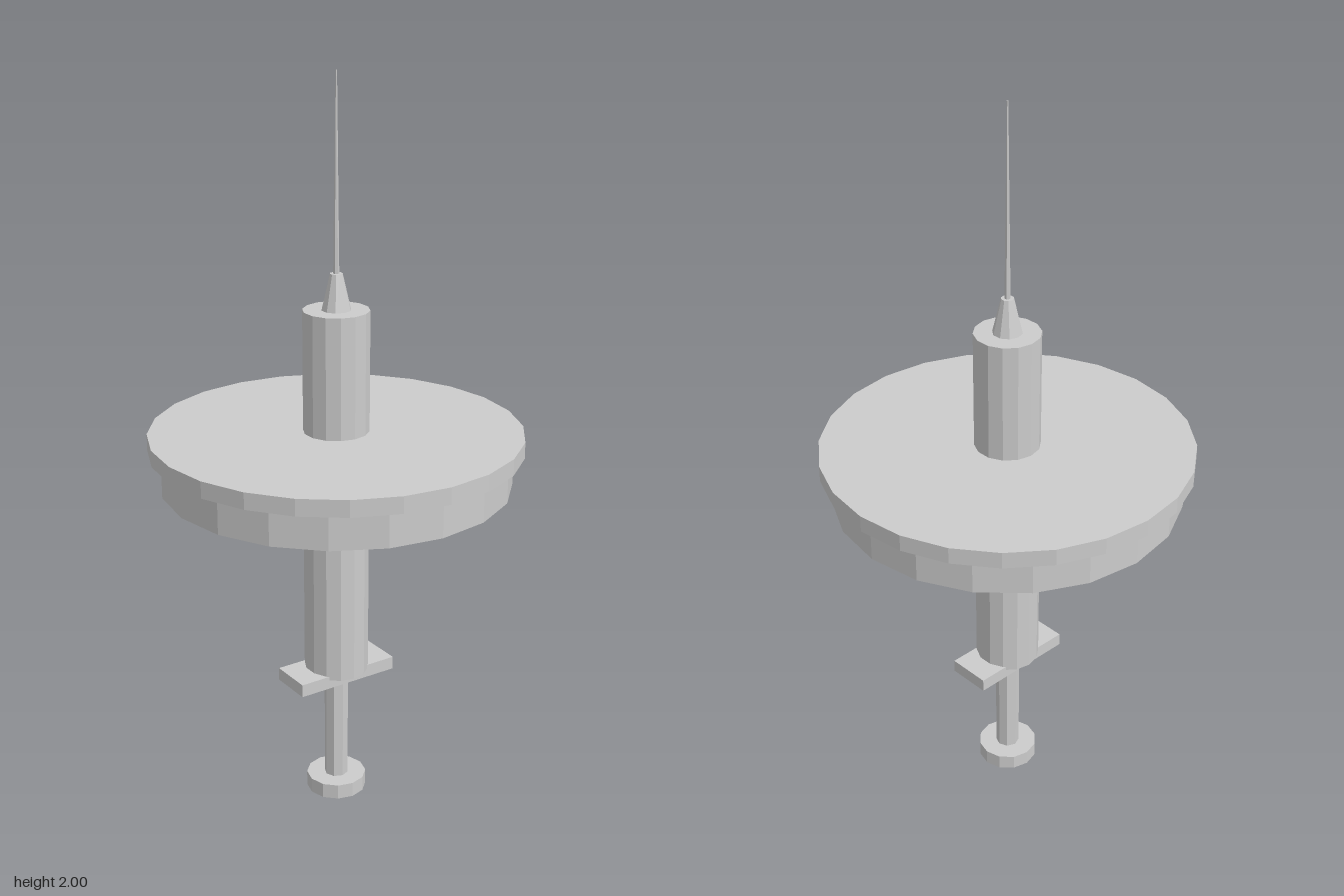
import * as THREE from 'three';

export function createModel() {
  const model = new THREE.Group();
  const grey = new THREE.MeshStandardMaterial({ color: 0xcccccc, flatShading: true });
  grey.name = 'light grey';

  const add = (name, geometry, y) => {
    const mesh = new THREE.Mesh(geometry, grey);
    mesh.name = name;
    mesh.position.y = y;
    model.add(mesh);
  };
  // Upright faceted part between two heights
  const turned = (name, bottomY, topY, bottomR, topR, sides) =>
    add(name, new THREE.CylinderGeometry(topR, bottomR, topY - bottomY, sides), (bottomY + topY) / 2);

  // Plunger
  turned('plungerCap', 0, 0.042, 0.083, 0.083, 12);
  turned('plungerRod', 0.04, 0.39, 0.033, 0.033, 8);

  // Finger grip and barrel
  add('fingerGrip', new THREE.BoxGeometry(0.3, 0.036, 0.12), 0.368);
  turned('barrel', 0.375, 1.398, 0.088, 0.088, 14);

  // Stacked discs around the barrel
  turned('lowerDisc', 0.928, 1.022, 0.468, 0.468, 20);
  turned('upperDisc', 1.026, 1.071, 0.497, 0.497, 24);

  // Needle hub and needle
  turned('needleHub', 1.395, 1.493, 0.04, 0.017, 10);
  turned('needle', 1.48, 2, 0.008, 0.002, 6);

  return model;
}
